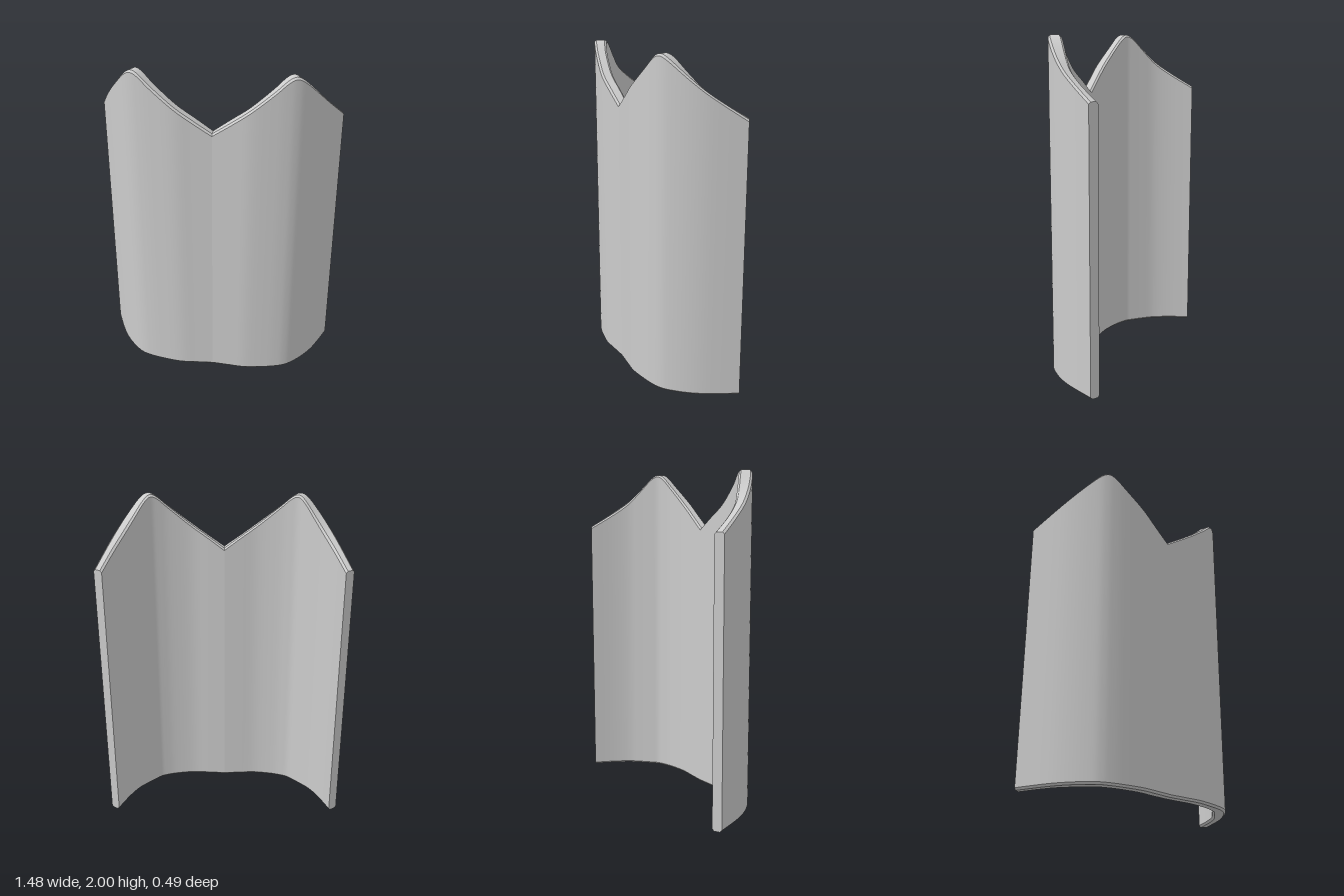
import * as THREE from 'three';
import { toCreasedNormals } from 'three/addons/utils/BufferGeometryUtils.js';

// Stations from the centre seam to the side edge: outer x, z; inner x, z; top height
const STATIONS = [
  [0.00, 0.228, 0.00, 0.160, 1.660],
  [0.11, 0.236, 0.10, 0.166, 1.735],
  [0.22, 0.242, 0.21, 0.172, 1.815],
  [0.35, 0.222, 0.33, 0.155, 1.920],
  [0.42, 0.205, 0.395, 0.136, 1.982],
  [0.465, 0.188, 0.435, 0.119, 2.000],
  [0.51, 0.158, 0.47, 0.088, 1.975],
  [0.58, 0.085, 0.525, 0.035, 1.895],
  [0.64, 0.000, 0.58, -0.025, 1.815],
  [0.69, -0.100, 0.635, -0.120, 1.740],
  [0.74, -0.215, 0.69, -0.245, 1.660],
];
const STEPS = 40;
const BEVEL = 0.012;

const spline = (a, b) => new THREE.SplineCurve(STATIONS.map(s => new THREE.Vector2(s[a], s[b])));

// One curved half panel: a bevelled wall section swept from the seam to the side edge
function halfPanel(side) {
  const outer = spline(0, 1), inner = spline(2, 3), height = spline(0, 4);
  const positions = [], index = [];
  for (let i = 0; i <= STEPS; i++) {
    const t = i / STEPS;
    const o = outer.getPoint(t), n = inner.getPoint(t), h = Math.min(2, height.getPoint(t).y);
    const f = BEVEL / o.distanceTo(n);
    // Section: up the outside, over the top, down the inside
    const ring = [
      [1 - f, 0], [1, BEVEL], [1, h - BEVEL], [1 - f, h],
      [f, h], [0, h - BEVEL], [0, BEVEL], [f, 0],
    ];
    for (const [k, y] of ring) {
      const p = n.clone().lerp(o, k);
      positions.push(side * p.x, y, p.y);
    }
  }
  const tri = (a, b, c) => (side > 0 ? index.push(a, b, c) : index.push(a, c, b));
  for (let i = 0; i < STEPS; i++) {
    for (let j = 0; j < 8; j++) {
      const a = i * 8 + j, d = i * 8 + (j + 1) % 8;
      tri(a, a + 8, d + 8);
      tri(a, d + 8, d);
    }
  }
  // End caps
  const last = STEPS * 8;
  for (let j = 1; j < 7; j++) {
    tri(0, j, j + 1);
    tri(last, last + j + 1, last + j);
  }
  const geometry = new THREE.BufferGeometry();
  geometry.setAttribute('position', new THREE.Float32BufferAttribute(positions, 3));
  geometry.setIndex(index);
  return toCreasedNormals(geometry, 0.5);
}

export function createModel() {
  const group = new THREE.Group();
  group.name = 'curvedPanel';
  const material = new THREE.MeshStandardMaterial({ color: 0xcccccc });
  for (const [name, side] of [['leftPanel', 1], ['rightPanel', -1]]) {
    const mesh = new THREE.Mesh(halfPanel(side), material);
    mesh.name = name;
    group.add(mesh);
  }
  return group;
}
